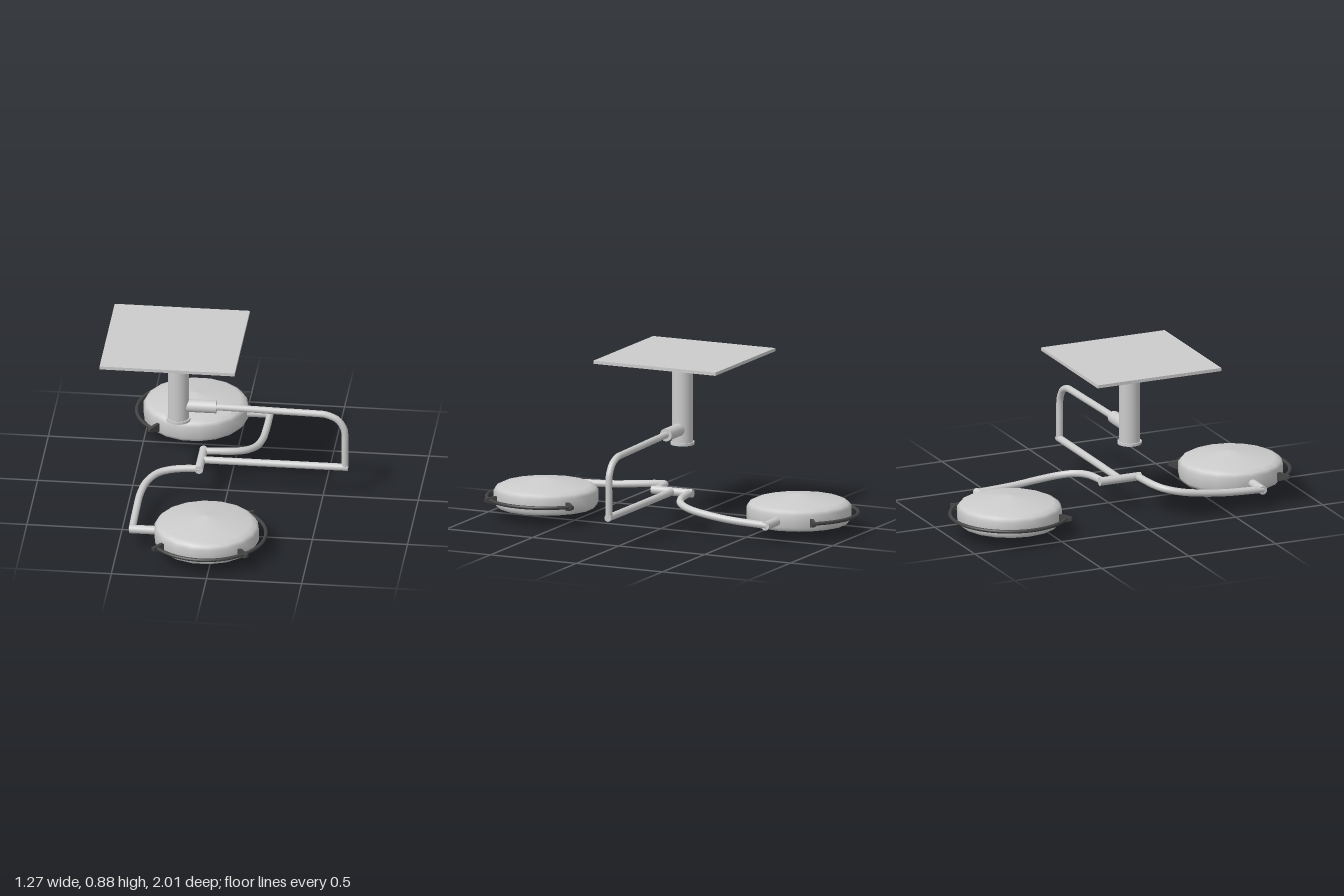
import * as THREE from 'three';

const grey = new THREE.MeshStandardMaterial({ color: 0xcccccc });
const greyOpen = new THREE.MeshStandardMaterial({ color: 0xcccccc, side: THREE.DoubleSide });
const dark = new THREE.MeshStandardMaterial({ color: 0x444444 });
const metal = new THREE.MeshStandardMaterial({ color: 0x777777 });
const mirror = new THREE.MeshStandardMaterial({ color: 0x66788f, side: THREE.DoubleSide });

const PIVOT_X = -0.14;
const COLUMN_X = -0.26;
const v = (x, y, z) => new THREE.Vector3(x, y, z);

function add(parent, name, geometry, material = grey) {
  const mesh = new THREE.Mesh(geometry, material);
  mesh.name = name;
  parent.add(mesh);
  return mesh;
}

// Straight round bar between two points
function bar(parent, name, a, b, r, material = grey, r2 = r) {
  const mesh = add(parent, name, new THREE.CylinderGeometry(r2, r, a.distanceTo(b), 20), material);
  mesh.position.copy(a).add(b).multiplyScalar(0.5);
  mesh.quaternion.setFromUnitVectors(v(0, 1, 0), b.clone().sub(a).normalize());
  return mesh;
}

function bentTube(parent, name, points, r) {
  const curve = new THREE.CatmullRomCurve3(points.map((p) => v(...p)), false, 'centripetal');
  return add(parent, name, new THREE.TubeGeometry(curve, 48, r, 14), greyOpen);
}

function lathe(parent, name, profile, sides, material) {
  const points = profile.map(([r, y]) => new THREE.Vector2(r, y));
  return add(parent, name, new THREE.LatheGeometry(points, sides, Math.PI / sides), material);
}

// Tapered bracket that holds the rail against the lamp housing
function railClamp(parent, angle) {
  const s = new THREE.Shape();
  s.moveTo(0.262, 0.075);
  s.lineTo(0.29, 0.08);
  s.lineTo(0.34, 0.097);
  s.lineTo(0.34, 0.113);
  s.lineTo(0.29, 0.122);
  s.lineTo(0.262, 0.122);
  s.closePath();
  const g = new THREE.ExtrudeGeometry(s, { depth: 0.018, bevelEnabled: false });
  g.translate(0, 0, -0.009);
  add(parent, 'railClamp', g, dark).rotation.y = -angle;
}

function lampHead(clampAngles) {
  const lamp = new THREE.Group();
  lamp.name = 'lampHead';
  // Housing and reflector
  lathe(lamp, 'lampHousing', [[0.248, 0.053], [0.257, 0.053], [0.275, 0.075], [0.275, 0.14],
    [0.262, 0.157], [0.235, 0.17], [0.12, 0.189], [0, 0.207]], 18, greyOpen);
  lathe(lamp, 'reflector', [[0.25, 0.053], [0.17, 0.09], [0.08, 0.128], [0, 0.16]], 18, mirror);
  // Central light unit with sterile grip
  bar(lamp, 'lightUnit', v(0, 0.072, 0), v(0, 0.16, 0), 0.04, metal);
  bar(lamp, 'lightUnitCap', v(0, 0.056, 0), v(0, 0.072, 0), 0.026, metal);
  bar(lamp, 'grip', v(0, 0, 0), v(0, 0.058, 0), 0.007, dark);
  // Half-round handling rail
  const start = THREE.MathUtils.degToRad(-50), sweep = THREE.MathUtils.degToRad(190);
  const rail = new THREE.TorusGeometry(0.31, 0.0095, 10, 48, sweep);
  rail.rotateX(Math.PI / 2);
  rail.rotateY(-start);
  rail.translate(0, 0.104, 0);
  add(lamp, 'handlingRail', rail, dark);
  clampAngles.forEach((deg) => railClamp(lamp, THREE.MathUtils.degToRad(deg)));
  return lamp;
}

// Curved arm, joint and lamp, laid out from the pivot toward +z
function lampBranch(name, clampAngles) {
  const branch = new THREE.Group();
  branch.name = name;
  bentTube(branch, 'lampArm', [[0, 0.172, 0.1], [-0.07, 0.172, 0.106], [-0.15, 0.168, 0.121],
    [-0.215, 0.16, 0.155], [-0.262, 0.146, 0.23], [-0.283, 0.131, 0.34],
    [-0.287, 0.116, 0.48], [-0.286, 0.106, 0.69]], 0.019);
  bar(branch, 'lampJoint', v(-0.3, 0.104, 0.685), v(-0.15, 0.104, 0.685), 0.023);
  const lamp = lampHead(clampAngles);
  lamp.position.set(0.105, 0, 0.684);
  branch.add(lamp);
  branch.position.x = PIVOT_X;
  return branch;
}

export function createModel() {
  const model = new THREE.Group();
  model.name = 'ceilingLamp';

  // Ceiling mount
  add(model, 'ceilingPlate', new THREE.BoxGeometry(0.71, 0.017, 0.71)).position.set(-0.28, 0.869, 0);
  bar(model, 'column', v(COLUMN_X, 0.41, 0), v(COLUMN_X, 0.862, 0), 0.056);
  bar(model, 'columnFlange', v(COLUMN_X, 0.403, 0), v(COLUMN_X, 0.417, 0), 0.064);

  // Main swing arm
  bar(model, 'armSleeve', v(-0.23, 0.488, 0), v(-0.06, 0.488, 0), 0.034);
  bentTube(model, 'upperArm', [[-0.08, 0.488, 0], [0.1, 0.486, 0], [0.3, 0.482, 0], [0.47, 0.479, 0],
    [0.51, 0.477, 0], [0.575, 0.45, 0], [0.609, 0.4, 0], [0.615, 0.36, 0], [0.615, 0.27, 0],
    [0.615, 0.17, 0]], 0.018);
  bar(model, 'lowerArm', v(PIVOT_X, 0.172, 0), v(0.63, 0.172, 0), 0.019);
  bar(model, 'pivotBar', v(PIVOT_X, 0.172, -0.118), v(PIVOT_X, 0.172, 0.118), 0.022);

  // Two lamps, turned half a revolution from each other
  model.add(lampBranch('frontLampBranch', [-50, 45, 140]));
  const back = lampBranch('backLampBranch', [-50, 140]);
  back.rotation.y = Math.PI;
  model.add(back);

  return model;
}
